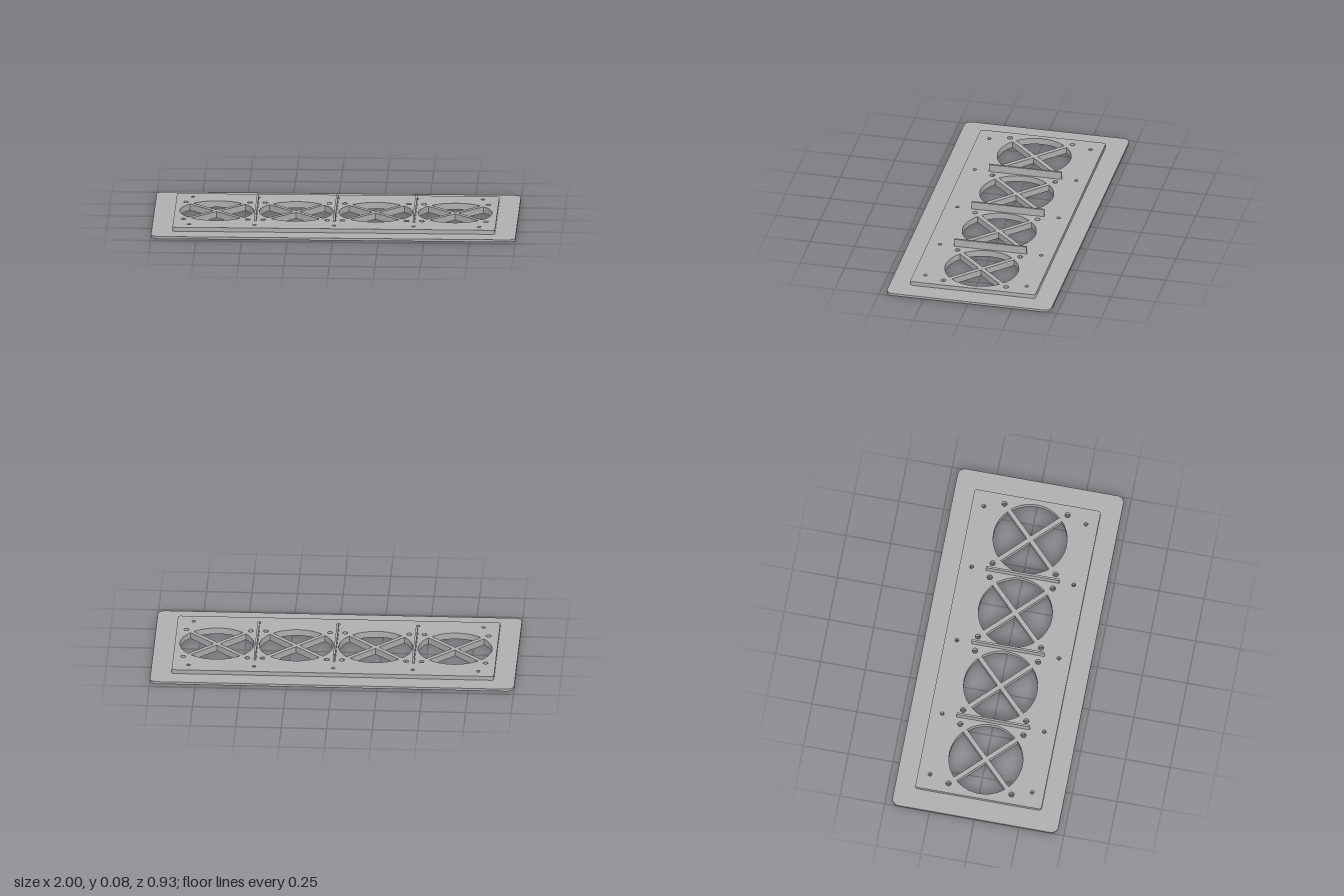
import * as THREE from 'three';
import { toCreasedNormals } from 'three/addons/utils/BufferGeometryUtils.js';

const BASE_TOP = 0.013, DECK_TOP = 0.036, RIB_TOP = 0.079;
const FAN_X = [-0.654, -0.218, 0.218, 0.654], FAN_R = 0.203;
const RIB_X = [-0.435, 0, 0.435];

// Rounded rectangle centred on the origin
function roundedRect(hw, hd, r) {
  const s = new THREE.Shape();
  s.absarc(hw - r, hd - r, r, 0, Math.PI / 2);
  s.absarc(-hw + r, hd - r, r, Math.PI / 2, Math.PI);
  s.absarc(-hw + r, -hd + r, r, Math.PI, Math.PI * 1.5);
  s.absarc(hw - r, -hd + r, r, Math.PI * 1.5, Math.PI * 2);
  s.closePath();
  return s;
}

// Fan openings, fan screw holes and the outer mounting holes
function addHoles(shape) {
  const hole = (x, y, r) =>
    shape.holes.push(new THREE.Path().absarc(x, y, r, 0, Math.PI * 2, true));
  for (const x of FAN_X) {
    hole(x, 0, FAN_R);
    for (const sx of [-1, 1]) for (const sy of [-1, 1]) hole(x + sx * 0.176, sy * 0.176, 0.0145);
  }
  for (const x of [-0.796, -0.436, 0, 0.436, 0.796])
    for (const sy of [-1, 1]) hole(x, sy * 0.285, 0.0105);
}

export function createModel() {
  const model = new THREE.Group();
  model.name = 'fanPanel';
  const grey = new THREE.MeshStandardMaterial({ color: 0xb0b0b0 });
  grey.name = 'plainGrey';

  const add = (name, geometry, x = 0, y = 0, z = 0) => {
    const mesh = new THREE.Mesh(geometry, grey);
    mesh.name = name;
    mesh.position.set(x, y, z);
    model.add(mesh);
    return mesh;
  };

  // Pierced plate lying flat between two heights
  const plate = (name, hw, hd, r, y0, y1) => {
    const shape = roundedRect(hw, hd, r);
    addHoles(shape);
    const geo = new THREE.ExtrudeGeometry(shape, { depth: y1 - y0, bevelEnabled: false, curveSegments: 32 });
    geo.rotateX(-Math.PI / 2);
    add(name, toCreasedNormals(geo, 0.6), 0, y0, 0);
  };
  plate('basePlate', 1, 0.463, 0.04, 0, BASE_TOP);
  plate('raisedDeck', 0.885, 0.352, 0.015, BASE_TOP, DECK_TOP);

  // Crossed spokes in every fan opening
  const spoke = new THREE.BoxGeometry(FAN_R * 2, DECK_TOP, 0.025);
  for (const x of FAN_X)
    for (const s of [-1, 1]) add('fanSpoke', spoke, x, DECK_TOP / 2, 0).rotation.y = s * Math.PI / 4;

  // Upright dividers between the fans
  const rib = new THREE.BoxGeometry(0.011, RIB_TOP - DECK_TOP, 0.408);
  for (const x of RIB_X) add('divider', rib, x, (RIB_TOP + DECK_TOP) / 2, 0);

  return model;
}
